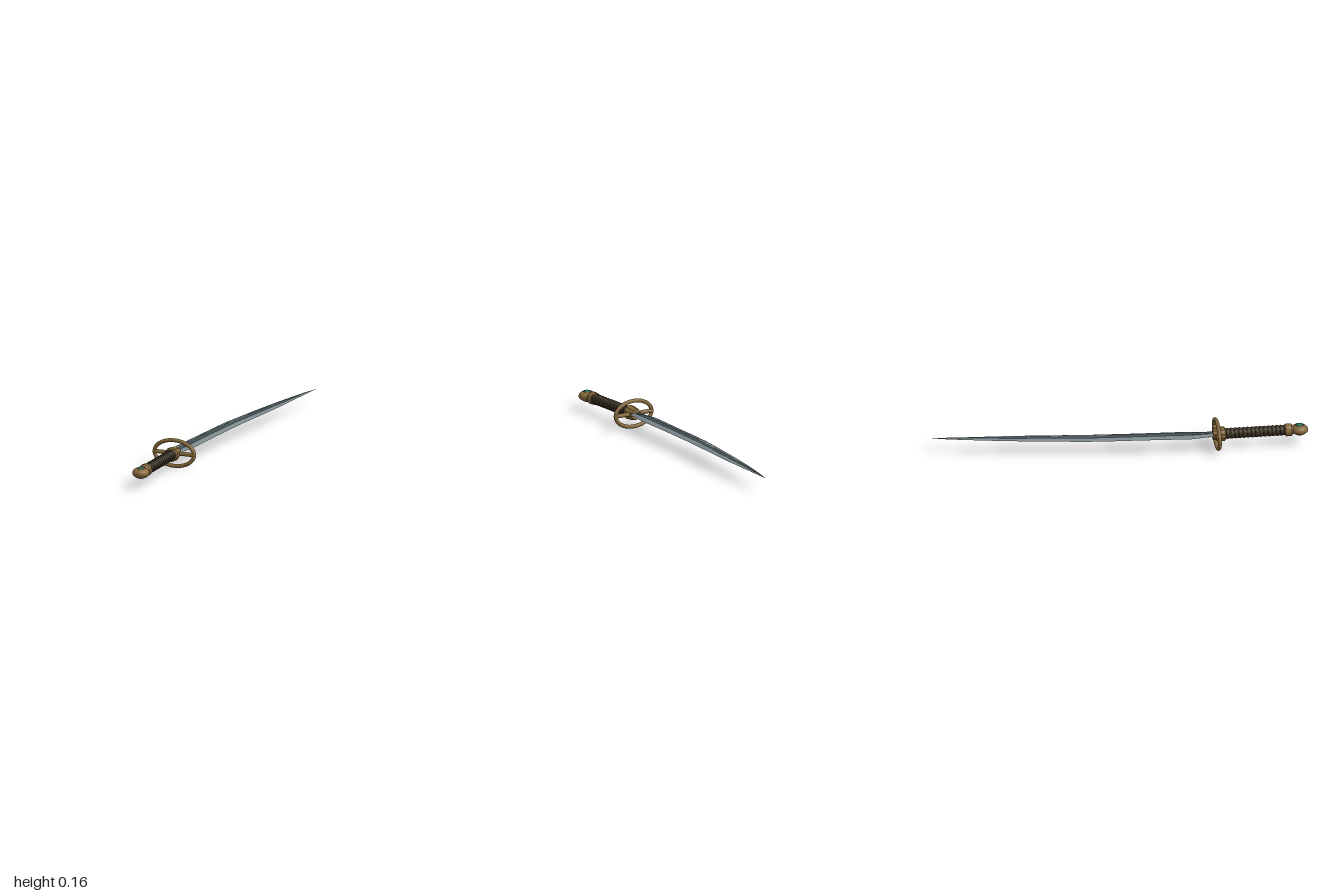
import * as THREE from 'three';

const AX = -0.02, AY = 0.082; // hilt axis, running along z

const mat = (color, extra = {}) => new THREE.MeshStandardMaterial({ color, ...extra });

export function createModel() {
  const group = new THREE.Group();
  const brass = mat(0x86693a);
  const brassFlat = mat(0x86693a, { flatShading: true });
  const leather = mat(0x3a3120);
  const steel = mat(0x7c888c, { flatShading: true, side: THREE.DoubleSide });
  const darkSteel = mat(0x414f53, { flatShading: true, side: THREE.DoubleSide });
  const gem = mat(0x1f6b58);
  const darkRim = mat(0x4a3a1e);

  const add = (name, geometry, material, x = AX, y = AY, z = 0, parent = group) => {
    const mesh = new THREE.Mesh(geometry, material);
    mesh.name = name;
    mesh.position.set(x, y, z);
    parent.add(mesh);
    return mesh;
  };
  // Turned part: profile of [radius, z] pairs around the hilt axis
  const turned = (name, profile, sides, material) => add(name,
    new THREE.LatheGeometry(profile.map(([r, z]) => new THREE.Vector2(r, z)), sides).rotateX(Math.PI / 2), material);

  // Blade stations: z, left edge x, right edge x, half thickness
  const stations = [
    [0.52, -0.052, 0.012, 0.009], [0.46, -0.055, 0.015, 0.009], [0.37, -0.069, 0.03, 0.009],
    [0.24, -0.058, 0.038, 0.009], [0.1, -0.046, 0.046, 0.009], [-0.04, -0.036, 0.057, 0.0085],
    [-0.18, -0.023, 0.068, 0.008], [-0.32, -0.001, 0.084, 0.0075], [-0.45, 0.021, 0.099, 0.007],
    [-0.58, 0.044, 0.112, 0.006], [-0.7, 0.068, 0.121, 0.005], [-0.8, 0.09, 0.128, 0.004],
    [-0.9, 0.114, 0.136, 0.003], [-0.99, 0.141, 0.143, 0.0004],
  ];
  // Strip of the blade surface following a profile of [across, thickness] fractions
  const bladeStrip = (name, profile, material, side) => {
    const pos = [], index = [], n = profile.length;
    for (const [z, l, r, h] of stations)
      for (const [u, v] of profile) pos.push((l + r) / 2 + u * (r - l) / 2, AY + side * v * h, z);
    for (let i = 0; i < stations.length - 1; i++)
      for (let j = 0; j < n - 1; j++) {
        const a = i * n + j, b = a + 1, c = a + n, d = c + 1;
        if (side > 0) index.push(a, b, c, b, d, c);
        else index.push(a, c, b, b, c, d);
      }
    const g = new THREE.BufferGeometry();
    g.setAttribute('position', new THREE.Float32BufferAttribute(pos, 3));
    g.setIndex(index);
    g.computeVertexNormals();
    add(name, g, material, 0, 0, 0);
  };
  for (const side of [1, -1]) {
    bladeStrip('bladeLeftBevel', [[0.3, 1], [0.65, 0.7], [1, 0]], steel, side);
    bladeStrip('bladeRightBevel', [[-1, 0], [-0.65, 0.7], [-0.3, 1]], steel, side);
    bladeStrip('bladeFuller', [[-0.3, 1], [-0.1, 0.45], [0.1, 0.45], [0.3, 1]], darkSteel, side);
  }

  // Guard: oval ring with a crossbar
  const oval = new THREE.CatmullRomCurve3(Array.from({ length: 32 }, (_, i) => {
    const a = i / 32 * Math.PI * 2;
    return new THREE.Vector3(Math.cos(a) * 0.114, Math.sin(a) * 0.07, 0);
  }), true);
  add('guardRing', new THREE.TubeGeometry(oval, 64, 0.0105, 12, true), brass, AX, AY, 0.511);
  add('guardBar', new THREE.CylinderGeometry(0.011, 0.011, 0.225, 16).rotateZ(Math.PI / 2), brass, AX, AY, 0.511);

  // Collar between blade and grip
  turned('collar', [[0, 0.488], [0.03, 0.488], [0.036, 0.515], [0.039, 0.535], [0.039, 0.551], [0.03, 0.557], [0, 0.557]],
    10, brassFlat);

  // Grip core with slanted wrapping bands
  turned('gripCore', [[0.025, 0.545], [0.025, 0.89]], 20, leather);
  const bands = 15;
  for (let i = 0; i < bands; i++) {
    const band = add('gripBand', new THREE.TorusGeometry(0.0205, 0.009, 8, 24).scale(1, 1, 1.3), leather,
      AX, AY, 0.567 + i * 0.0222);
    band.rotation.y = 0.12;
  }

  // Ferrule and pommel
  turned('ferrule', [[0, 0.876], [0.031, 0.876], [0.034, 0.882], [0.034, 0.908], [0.028, 0.914], [0.02, 0.925]], 12, brassFlat);
  add('pommel', new THREE.SphereGeometry(1, 32, 20).scale(0.046, 0.029, 0.046), brass, AX, AY, 0.953);

  // Gem settings on both faces of the pommel
  for (const side of [1, -1]) {
    const setting = new THREE.Group();
    setting.name = 'gemSetting';
    setting.position.set(AX, AY + side * 0.023, 0.953);
    group.add(setting);
    add('gemRim', new THREE.TorusGeometry(0.021, 0.004, 8, 28).rotateX(Math.PI / 2), darkRim, 0, 0, 0, setting);
    add('gem', new THREE.SphereGeometry(1, 24, 14).scale(0.02, 0.009, 0.02), gem, 0, 0, 0, setting);
  }
  return group;
}
